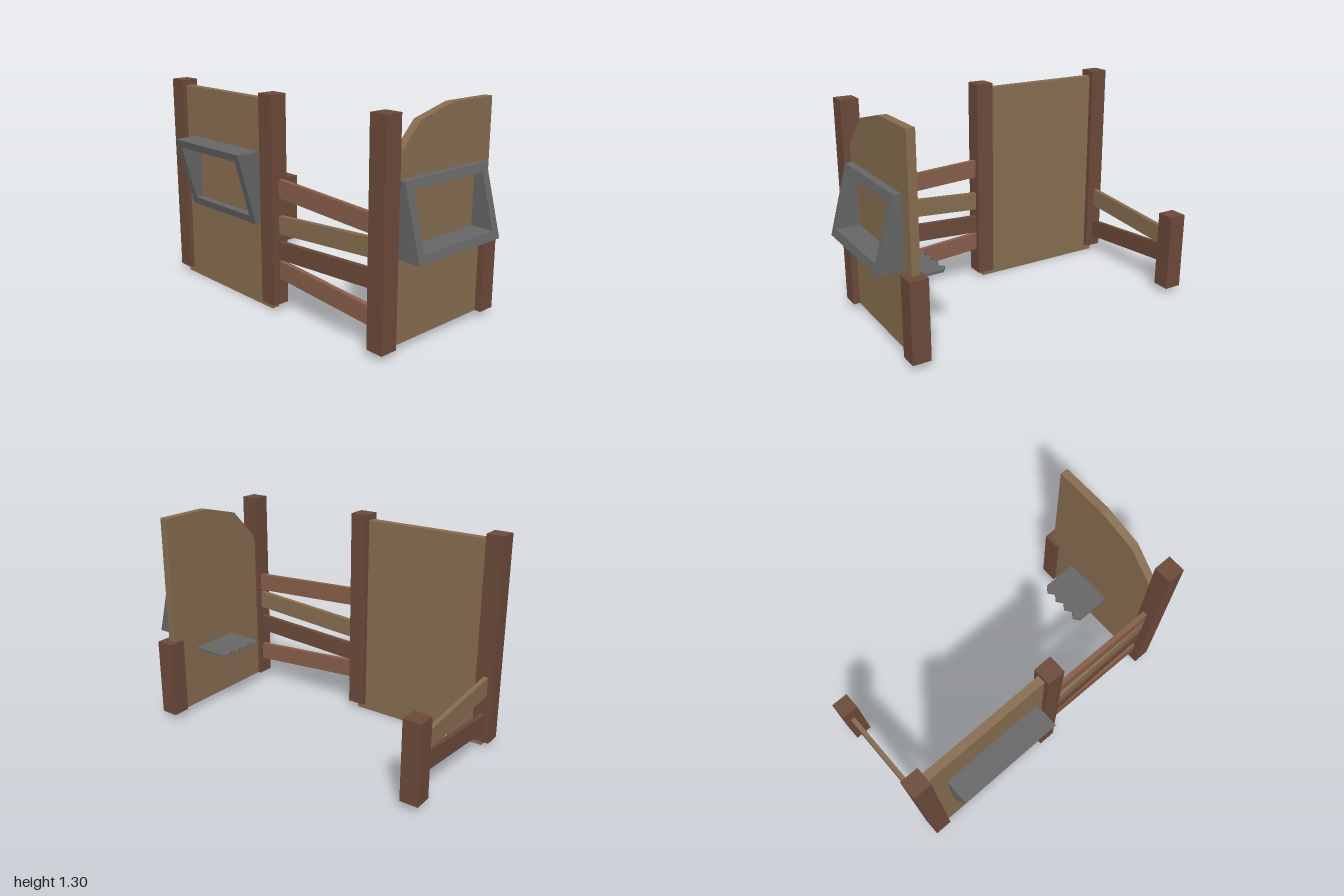
import * as THREE from 'three';

const mat = (color) => new THREE.MeshStandardMaterial({ color, flatShading: true });

export function createModel() {
  const model = new THREE.Group();
  const darkWood = mat(0x6b4a3a), redWood = mat(0x885e4a), tanWood = mat(0x876d50), metal = mat(0x666666);

  const add = (name, geometry, material) => {
    const mesh = new THREE.Mesh(geometry, material);
    mesh.name = name;
    model.add(mesh);
    return mesh;
  };

  // Box given by its minimum and maximum corners
  const box = (name, a, b, material) => {
    const mesh = add(name, new THREE.BoxGeometry(b[0] - a[0], b[1] - a[1], b[2] - a[2]), material);
    mesh.position.set((a[0] + b[0]) / 2, (a[1] + b[1]) / 2, (a[2] + b[2]) / 2);
    return mesh;
  };

  const polygon = (points) => new THREE.Shape(points.map(([x, y]) => new THREE.Vector2(x, y)));
  const extrude = (shape, depth) => new THREE.ExtrudeGeometry(shape, { depth, bevelEnabled: false });

  // Sloping board with upright ends, running along local x
  const slat = (name, x0, y0, x1, y1, height, thickness, material) => {
    const h = height / 2;
    const shape = polygon([[x0, y0 - h], [x1, y1 - h], [x1, y1 + h], [x0, y0 + h]]);
    return add(name, extrude(shape, thickness), material);
  };

  // Rectangular frame whose front face slopes between two depths
  const wedgeFrame = (name, w, h, t, bottomDepth, topDepth) => {
    const shape = polygon([[-w / 2, 0], [w / 2, 0], [w / 2, h], [-w / 2, h]]);
    const x = w / 2 - t;
    shape.holes.push(polygon([[-x, t], [-x, h - t], [x, h - t], [x, t]]));
    const geometry = extrude(shape, 1);
    const p = geometry.attributes.position;
    for (let i = 0; i < p.count; i++) {
      p.setZ(i, p.getZ(i) * THREE.MathUtils.lerp(bottomDepth, topDepth, p.getY(i) / h));
    }
    geometry.computeVertexNormals();
    return add(name, geometry, metal);
  };

  // Tall posts along the front, short posts at the back
  for (const x of [-1, -0.11, 0.77]) box('tallPost', [x, 0.04, 0.3], [x + 0.11, 1.3, 0.41], darkWood);
  for (const x of [-1, 0.77]) box('shortPost', [x, 0.04, -0.535], [x + 0.11, 0.52, -0.425], darkWood);

  // Front panel
  box('frontPanel', [-0.945, 0, 0.33], [-0.05, 1.265, 0.38], tanWood);

  // Side panel with a sloped top, drawn with local x pointing to -z
  const sideShape = polygon([
    [-0.35, 0.04], [0.48, 0.04], [0.48, 1.3], [0.14, 1.3],
    [-0.11, 1.235], [-0.285, 1.055], [-0.3, 1.01], [-0.35, 0.87],
  ]);
  const sidePanel = add('sidePanel', extrude(sideShape, 0.05), tanWood);
  sidePanel.rotation.y = Math.PI / 2;
  sidePanel.position.x = 0.79;

  // Window frames
  wedgeFrame('frontFrame', 0.65, 0.435, 0.047, 0.035, 0.155).position.set(-0.475, 0.515, 0.38);
  const sideFrame = wedgeFrame('sideFrame', 0.67, 0.417, 0.049, 0.157, 0.045);
  sideFrame.rotation.y = Math.PI / 2;
  sideFrame.position.set(0.84, 0.53, -0.065);

  // Front slats: height at each end
  const frontSlats = [
    [0.755, 0.713, redWood], [0.533, 0.59, tanWood], [0.375, 0.418, darkWood], [0.258, 0.2, redWood],
  ];
  for (const [y0, y1, material] of frontSlats) {
    slat('frontSlat', -0.02, y0, 0.79, y1, 0.11, 0.03, material).position.z = 0.33;
  }

  // Side slats between the front post and the short post
  for (const [y0, y1, material] of [[0.405, 0.345, tanWood], [0.165, 0.24, darkWood]]) {
    const board = slat('sideSlat', -0.33, y0, 0.46, y1, 0.115, 0.028, material);
    board.rotation.y = Math.PI / 2;
    board.position.x = -0.967;
  }

  // Shelf with a toothed edge, drawn in x and -z
  const outline = [[0.79, -0.03], [0.79, 0.295]];
  for (let i = 8; i >= 0; i--) outline.push([i % 2 ? 0.535 : 0.565, -0.03 + (i * 0.325) / 8]);
  const shelf = add('toothedShelf', extrude(polygon(outline), 0.015), metal);
  shelf.rotation.x = -Math.PI / 2;
  shelf.position.y = 0.41;

  return model;
}
